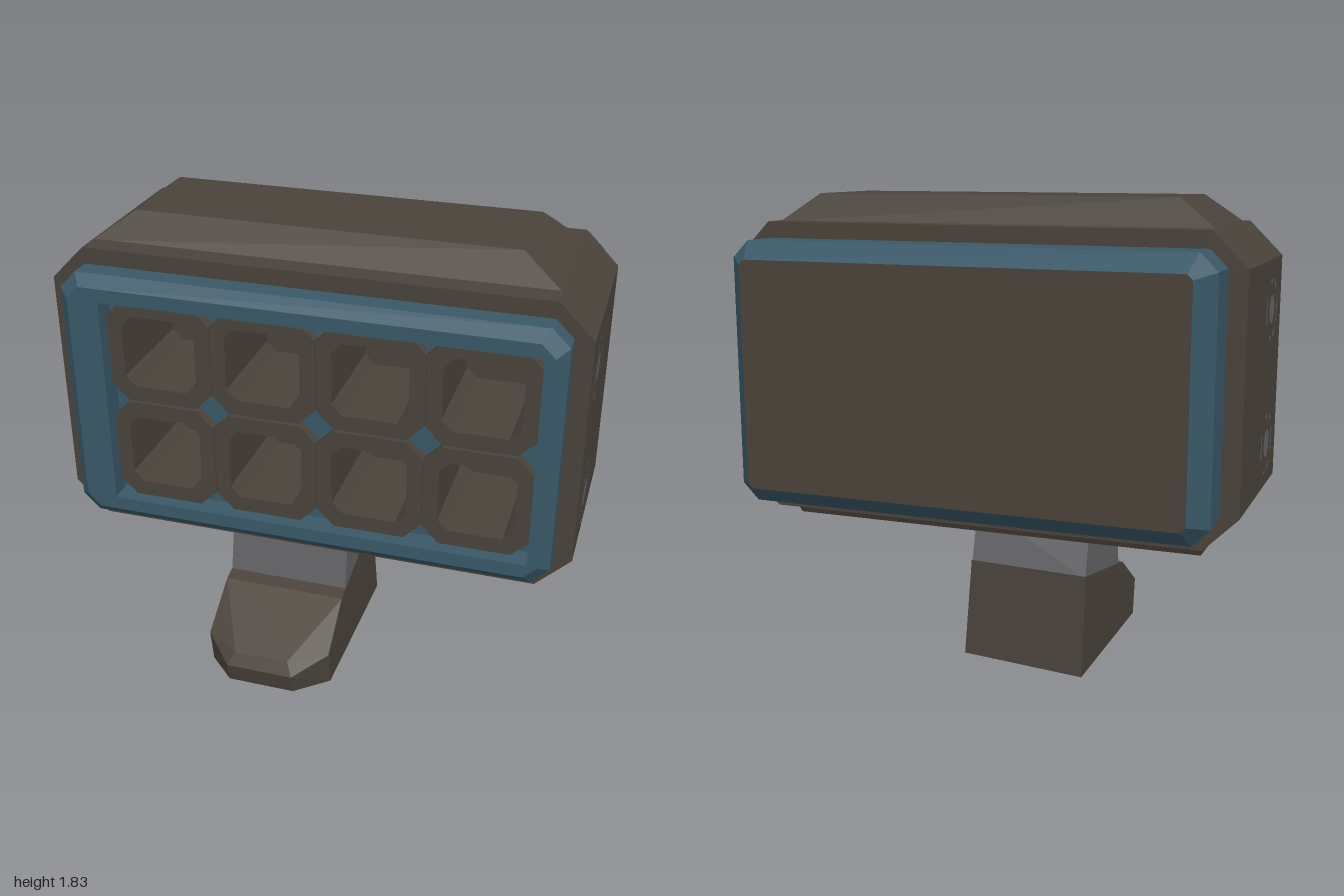
import * as THREE from 'three';
import { ConvexGeometry } from 'three/addons/geometries/ConvexGeometry.js';

const makeMaterial = (name, color) => {
  const m = new THREE.MeshStandardMaterial({ color });
  m.name = name;
  return m;
};

// Chamfered rectangle, counter-clockwise seen from +z
function octagon(cx, cy, hx, hy, c, z) {
  return [
    [-hx + c, -hy], [hx - c, -hy], [hx, -hy + c], [hx, hy - c],
    [hx - c, hy], [-hx + c, hy], [-hx, hy - c], [-hx, -hy + c],
  ].map(([x, y]) => [cx + x, cy + y, z]);
}

// Flat-shaded skin through a list of equal rings
function loft(rings) {
  const pos = [];
  for (let r = 0; r < rings.length - 1; r++) {
    const a = rings[r], b = rings[r + 1], n = a.length;
    for (let i = 0; i < n; i++) {
      const j = (i + 1) % n;
      pos.push(...a[i], ...a[j], ...b[j], ...a[i], ...b[j], ...b[i]);
    }
  }
  const g = new THREE.BufferGeometry();
  g.setAttribute('position', new THREE.Float32BufferAttribute(pos, 3));
  g.computeVertexNormals();
  return g;
}

const hull = (points) => new ConvexGeometry(points.map((p) => new THREE.Vector3(...p)));

// Tapered slab between two levels, each given as [y, half width, back z, front z]
const slab = (...levels) => hull(levels.flatMap(([y, x, z0, z1]) =>
  [[-x, y, z0], [x, y, z0], [x, y, z1], [-x, y, z1]]));

export function createModel() {
  const brown = makeMaterial('dark brown', 0x4a433b);
  const blue = makeMaterial('slate blue', 0x3a5868);
  const grey = makeMaterial('grey metal', 0x646468);
  const model = new THREE.Group();
  model.name = 'launcherPod';
  const add = (name, geometry, material, parent = model) => {
    const mesh = new THREE.Mesh(geometry, material);
    mesh.name = name;
    parent.add(mesh);
    return mesh;
  };
  const cy = 1.15;

  // Armour band around the middle, open through its centre
  const band = (z) => octagon(0, cy, 1, 0.57, 0.13, z);
  const bandInner = (z) => octagon(0, cy, 0.9, 0.48, 0.06, z);
  add('armourBand', loft([bandInner(-0.35), band(-0.35), band(0.37), bandInner(0.37)]), brown);
  add('topPlate', slab([1.715, 0.87, -0.26, 0.28], [1.825, 0.72, -0.2, 0.21]), brown);
  add('bottomPlate', slab([0.585, 0.86, -0.25, 0.13], [0.52, 0.84, -0.22, 0.1]), brown);

  // Rear casing and its closing panel
  add('rearCasing', loft([
    octagon(0, cy, 0.86, 0.44, 0.02, -0.585),
    octagon(0, cy, 0.93, 0.507, 0.065, -0.51),
    octagon(0, cy, 0.93, 0.507, 0.065, -0.34),
  ]), blue);
  add('rearPanel', hull([
    ...octagon(0, cy, 0.86, 0.44, 0.02, -0.587),
    ...octagon(0, cy, 0.86, 0.44, 0.02, -0.58),
  ]), brown);

  // Front frame with an off-centre opening
  add('frontFrame', loft([
    octagon(0, cy, 0.93, 0.507, 0.065, 0.36),
    octagon(0, cy, 0.93, 0.507, 0.065, 0.45),
    octagon(0, cy, 0.888, 0.465, 0.05, 0.49),
    octagon(0.043, cy, 0.808, 0.412, 0.004, 0.49),
    octagon(0.043, cy, 0.808, 0.412, 0.004, 0.39),
  ]), blue);

  // Two rows of four tubes, set in a perforated plate
  const plate = new THREE.Shape(octagon(0.043, cy, 0.81, 0.415, 0.004, 0)
    .map(([x, y]) => new THREE.Vector2(x, y)));
  const tubes = new THREE.Group();
  tubes.name = 'tubes';
  model.add(tubes);
  for (let row = 0; row < 2; row++) {
    for (let col = 0; col < 4; col++) {
      const x = 0.043 + (col - 1.5) * 0.403, y = cy + (row - 0.5) * 0.415;
      plate.holes.push(new THREE.Path(octagon(x, y, 0.19, 0.19, 0.06, 0)
        .map(([px, py]) => new THREE.Vector2(px, py)).reverse()));
      add('tube', loft([
        octagon(x, y, 0.2, 0.203, 0.065, 0.38),
        octagon(x, y, 0.2, 0.203, 0.065, 0.44),
        octagon(x, y, 0.142, 0.142, 0.04, 0.44),
        octagon(x, y, 0.142, 0.142, 0.04, 0.0),
        octagon(x, y, 0.001, 0.001, 0.0003, 0.0),
      ]), brown, tubes);
    }
  }
  add('tubePlate', new THREE.ShapeGeometry(plate), blue).position.z = 0.4;

  // Side bolts: a disc and broken ring on each flank, [start angle, sweep]
  const arcs = [[-0.45, 0.9], [1.2, 0.35], [1.95, 0.4], [2.65, 1.0], [4.0, 0.45], [4.75, 0.3]];
  for (const side of [-1, 1]) {
    for (const y of [0.88, 1.4]) {
      const bolt = new THREE.Group();
      bolt.name = side > 0 ? 'leftBolt' : 'rightBolt';
      bolt.position.set(side * 1.002, y, 0.157);
      bolt.rotation.y = side * Math.PI / 2;
      add('boltHead', new THREE.CircleGeometry(0.055, 16), grey, bolt);
      for (const [start, sweep] of arcs) {
        // mirrored so the longer arc faces the front on both flanks
        const from = side > 0 ? start : Math.PI - start - sweep;
        add('boltRing', new THREE.RingGeometry(0.102, 0.12, 4, 1, from, sweep), grey, bolt);
      }
      model.add(bolt);
    }
  }

  // Neck, with a slanted rear face
  add('neck', hull([
    [-0.4, 0.27, 0.237], [0.095, 0.27, 0.237], [0.095, 0.37, -0.175], [-0.4, 0.38, -0.24],
    [-0.39, 0.6, 0.195], [0.095, 0.6, 0.195], [0.095, 0.6, -0.105], [-0.39, 0.6, -0.14],
  ]), grey);

  // Foot with a chamfered toe
  add('foot', hull([
    [-0.405, 0, -0.29], [0.11, 0, -0.22], [0.1, 0, 0.46],
    [-0.025, 0, 0.565], [-0.295, 0, 0.565], [-0.405, 0, 0.46],
    [0.1, 0.15, 0.485], [-0.025, 0.085, 0.585], [-0.295, 0.085, 0.585], [-0.405, 0.15, 0.485],
    [-0.05, 0.135, 0.555], [-0.27, 0.135, 0.555],
    [-0.4, 0.288, 0.29], [0.097, 0.288, 0.29], [0.097, 0.38, -0.175], [-0.402, 0.39, -0.24],
  ]), brown);

  return model;
}
